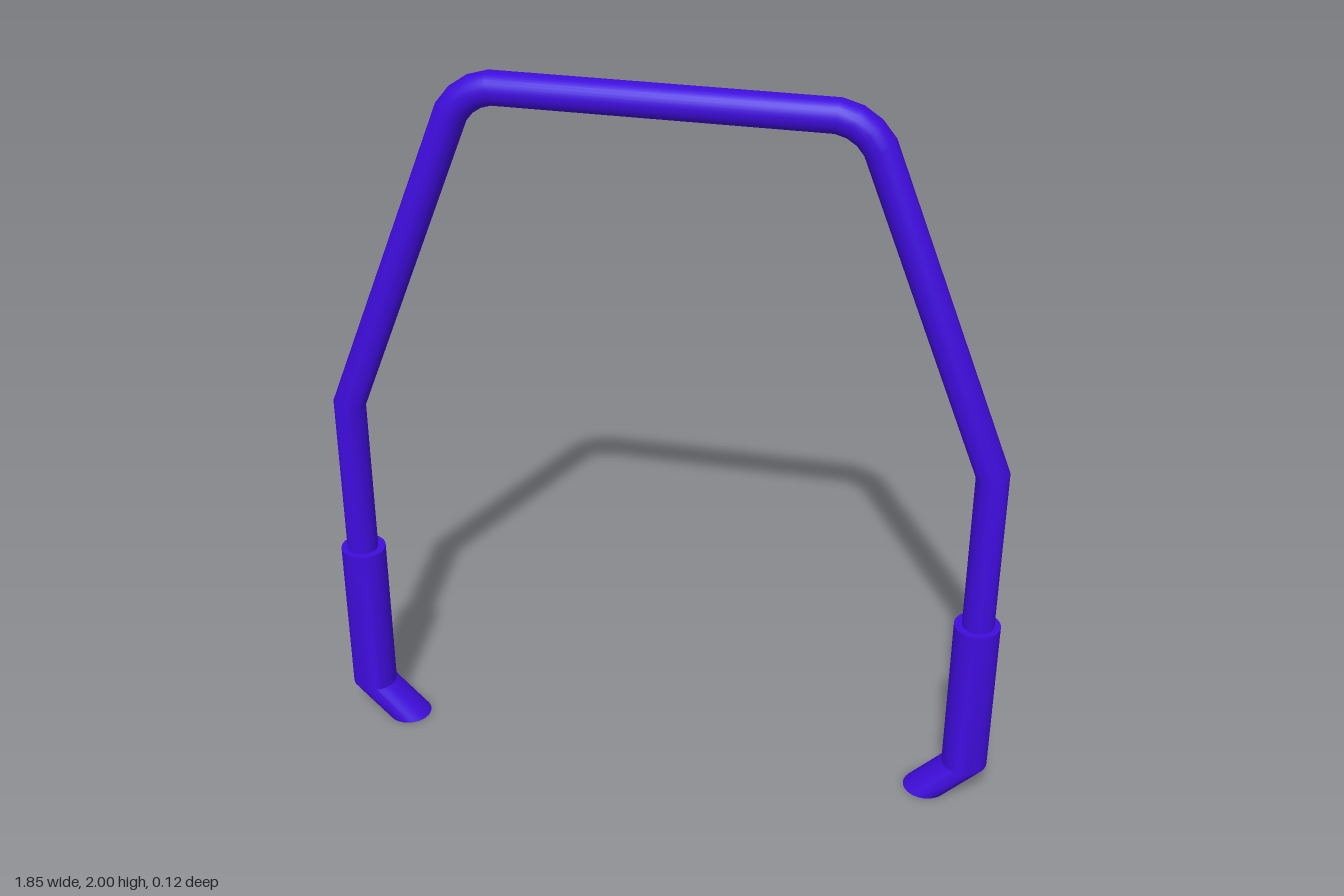
import * as THREE from 'three';
import { toCreasedNormals } from 'three/addons/utils/BufferGeometryUtils.js';

const SIDES = 32;

// Skin a closed pipe over rings; each ring is { x, y, nx, ny }, where (nx, ny) is its in-plane half axis
function skin(rings, radius) {
  const pos = [], idx = [];
  for (const r of rings) {
    for (let j = 0; j < SIDES; j++) {
      const a = (j / SIDES) * Math.PI * 2;
      const c = Math.cos(a) * radius;
      pos.push(r.x + r.nx * c, r.y + r.ny * c, Math.sin(a) * radius);
    }
  }
  const last = (rings.length - 1) * SIDES;
  const c0 = rings.length * SIDES;
  for (const r of [rings[0], rings[rings.length - 1]]) pos.push(r.x, r.y, 0);
  for (let j = 0; j < SIDES; j++) {
    const k = (j + 1) % SIDES;
    for (let o = 0; o < last; o += SIDES) {
      idx.push(o + j, o + SIDES + j, o + k, o + k, o + SIDES + j, o + SIDES + k);
    }
    // End caps
    idx.push(c0, j, k, c0 + 1, last + k, last + j);
  }
  const g = new THREE.BufferGeometry();
  g.setAttribute('position', new THREE.Float32BufferAttribute(pos, 3));
  g.setIndex(idx);
  return toCreasedNormals(g, 0.345);
}

// Rings with mitred joints along a path in the xy plane
function mitredRings(points) {
  const p = points.map(([x, y]) => new THREE.Vector2(x, y));
  return p.map((q, i) => {
    const before = q.clone().sub(p[Math.max(i - 1, 0)]).normalize();
    const after = p[Math.min(i + 1, p.length - 1)].clone().sub(q).normalize();
    const t = before.clone().add(after).normalize();
    const stretch = 1 / t.dot(i ? before : after);
    return { x: q.x, y: q.y, nx: t.y * stretch, ny: -t.x * stretch };
  });
}

export function createModel() {
  const group = new THREE.Group();
  const material = new THREE.MeshStandardMaterial({ color: 0x3f0cdc });
  const add = (name, geometry) => {
    const mesh = new THREE.Mesh(geometry, material);
    mesh.name = name;
    group.add(mesh);
  };

  // Bent hoop: upright, slanted side, rounded corner, then mirrored
  const half = [
    [0.865, 0.45], [0.865, 1.03], [0.53, 1.887],
    [0.503, 1.921], [0.468, 1.945], [0.427, 1.957],
  ];
  const path = [...half, ...half.map(([x, y]) => [-x, y]).reverse()];
  add('hoopTube', skin(mitredRings(path), 0.043));

  // Thicker foot sleeves with inward-turned ends cut level with the ground
  for (const [side, name] of [[1, 'leftFootSleeve'], [-1, 'rightFootSleeve']]) {
    const rings = [[0.762, 0], [0.863, 0.103], [0.863, 0.565]]
      .map(([x, y]) => ({ x: side * x, y, nx: 1, ny: 0 }));
    add(name, skin(rings, 0.062));
  }
  return group;
}
